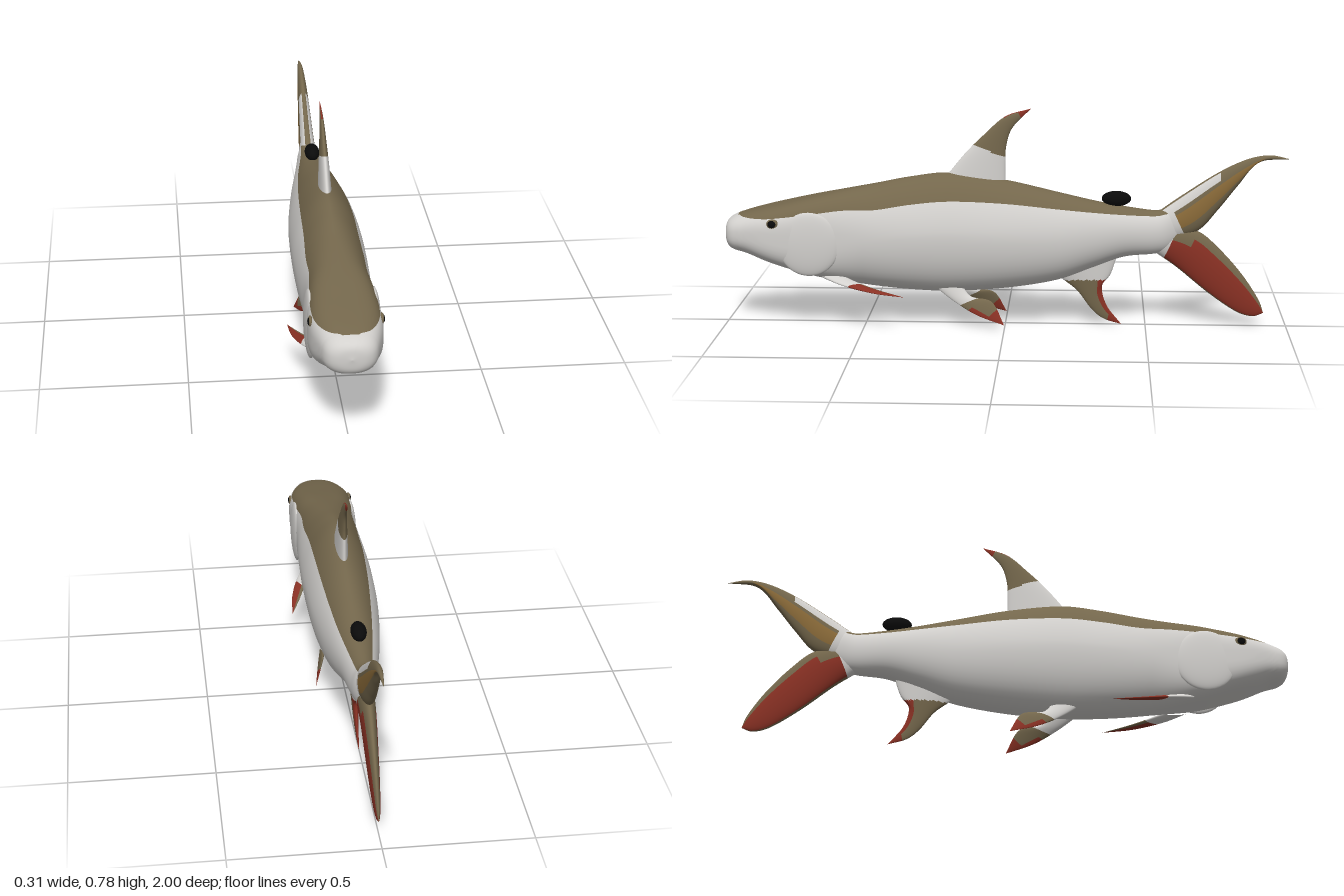
import * as THREE from 'three';

const mat = (name, color) => {
  const m = new THREE.MeshStandardMaterial({ color });
  m.name = name;
  return m;
};

// Closed skin from a grid of points: rows along the part, columns around it.
// pick(i, j) gives the material index of each cell.
function skin(name, rows, cols, point, pick, materials) {
  const pos = [], lists = materials.map(() => []);
  for (let i = 0; i <= rows; i++)
    for (let j = 0; j < cols; j++) pos.push(...point(i / rows, j));
  const P = k => new THREE.Vector3().fromArray(pos, k * 3);
  let volume = 0;
  for (let i = 0; i < rows; i++)
    for (let j = 0; j < cols; j++) {
      const k = (j + 1) % cols;
      const a = i * cols + j, b = i * cols + k, c = a + cols, d = b + cols;
      for (const t of [[a, c, b], [b, c, d]]) {
        volume += P(t[0]).dot(P(t[1]).cross(P(t[2])));
        lists[pick(i, j)].push(t);
      }
    }
  const index = [], g = new THREE.BufferGeometry();
  lists.forEach((list, m) => {
    g.addGroup(index.length, list.length * 3, m);
    list.forEach(t => index.push(...(volume < 0 ? [t[0], t[2], t[1]] : t)));
  });
  g.setAttribute('position', new THREE.Float32BufferAttribute(pos, 3));
  g.setIndex(index);
  g.computeVertexNormals();
  const mesh = new THREE.Mesh(g, materials);
  mesh.name = name;
  return mesh;
}

const curve = pts => new THREE.CatmullRomCurve3(pts.map(p => new THREE.Vector3(...p)), false, 'catmullrom', 0.5);

// Lens-section fin between a leading and a trailing edge, root to tip.
function fin(name, lead, trail, normal, thick, materials, colour) {
  const L = curve(lead), T = curve(trail), n = new THREE.Vector3(...normal).normalize();
  const rows = 48, cols = 56;
  const chord = j => (1 - Math.cos((j / cols) * Math.PI * 2)) / 2;
  return skin(name, rows, cols, (u, j) => {
    const t = thick * Math.pow(1 - u, 0.8) * Math.sin((j / cols) * Math.PI * 2);
    return L.getPoint(u).lerp(T.getPoint(u), chord(j)).addScaledVector(n, t).toArray();
  }, (i, j) => colour((i + 0.5) / rows, chord(j + 0.5)), materials);
}

const flat = pts => pts.map(([z, y]) => [0, y, z]);
const mirrorX = pts => pts.map(([x, y, z]) => [-x, y, z]);

export function createModel() {
  const fish = new THREE.Group();
  fish.name = 'fish';
  const grey = mat('silver grey', 0xd3d1ce);
  const olive = mat('olive brown', 0x74674c);
  const red = mat('fin red', 0x8a3124);
  const gold = mat('golden brown', 0x8c6c3a);
  const black = mat('black', 0x0b0b0b);
  const all = [grey, olive, red, gold];
  const GREY = 0, OLIVE = 1, RED = 2, GOLD = 3;

  // Body stations: z, bottom, top, half width, colour line, squareness
  const S = [
    [1.0, 0.3299, 0.3301, 0.0001, 0.40, 2.2],
    [0.993, 0.288, 0.368, 0.05, 0.40, 2.3],
    [0.97, 0.268, 0.388, 0.08, 0.40, 2.5],
    [0.92, 0.255, 0.406, 0.098, 0.393, 2.7],
    [0.85, 0.228, 0.424, 0.116, 0.393, 3.0],
    [0.78, 0.205, 0.440, 0.121, 0.40, 3.2],
    [0.68, 0.175, 0.463, 0.117, 0.412, 3.1],
    [0.57, 0.152, 0.486, 0.114, 0.425, 2.4],
    [0.46, 0.136, 0.508, 0.12, 0.428, 1.95],
    [0.33, 0.124, 0.534, 0.125, 0.448, 1.7],
    [0.19, 0.12, 0.548, 0.126, 0.46, 1.65],
    [0.0, 0.133, 0.523, 0.12, 0.452, 1.7],
    [-0.18, 0.163, 0.482, 0.102, 0.432, 1.85],
    [-0.31, 0.21, 0.452, 0.083, 0.418, 2.0],
    [-0.42, 0.25, 0.432, 0.064, 0.408, 2.0],
    [-0.53, 0.262, 0.418, 0.048, 0.402, 2.0],
    [-0.585, 0.28, 0.425, 0.036, 0.408, 2.0],
    [-0.64, 0.335, 0.375, 0.006, 0.37, 2.0],
  ];
  const A = curve(S.map(s => s.slice(0, 3))), B = curve(S.map(s => s.slice(3)));
  const UP = 7, LOW = 17, HALF = UP + LOW, SNOUT = 17;
  fish.add(skin('body', 120, HALF * 2, (u, j) => {
    const { x: z, y: bottom, z: top } = A.getPoint(u);
    const { x: w, y: line, z: n } = B.getPoint(u);
    const cy = (top + bottom) / 2, h = (top - bottom) / 2;
    const k = j <= HALF ? j : HALF * 2 - j, side = j <= HALF ? 1 : -1;
    const q = THREE.MathUtils.clamp((line - cy) / h, 0.05, 0.985);
    const split = Math.acos(Math.pow(q, n / 2));
    const a = k <= UP ? (split * k) / UP : split + ((Math.PI - split) * (k - UP)) / LOW;
    const c = Math.cos(a), s = Math.max(Math.sin(a), 0);
    const e = 2 / (c > 0 ? n : Math.max(n, 2.1));
    return [side * w * Math.pow(s, e), cy + h * Math.sign(c) * Math.pow(Math.abs(c), e), z];
  }, (i, j) => (i >= SNOUT && (j < UP || j >= HALF * 2 - UP) ? OLIVE : GREY), all));

  const ellipsoid = (name, m, p, r) => {
    const mesh = new THREE.Mesh(new THREE.SphereGeometry(1, 32, 24), m);
    mesh.name = name;
    mesh.position.set(...p);
    mesh.scale.set(...r);
    fish.add(mesh);
  };

  // Small dark bead on the back
  ellipsoid('backBead', black, [0, 0.459, -0.393], [0.027, 0.027, 0.052]);

  // Median fins
  const X = [1, 0, 0];
  fish.add(fin('dorsalFin',
    flat([[0.21, 0.535], [0.14, 0.62], [0.075, 0.685], [0.0, 0.75], [-0.09, 0.778]]),
    flat([[0.0, 0.51], [0.0, 0.585], [-0.003, 0.645], [-0.025, 0.71], [-0.09, 0.778]]),
    X, 0.022, all,
    (u, v) => (u > 0.87 || (u > 0.72 && v < 0.06) ? RED : u < 0.36 - 0.03 * v ? GREY : OLIVE)));
  fish.add(fin('analFin',
    flat([[-0.19, 0.175], [-0.255, 0.125], [-0.305, 0.06], [-0.35, 0.022], [-0.415, 0.001]]),
    flat([[-0.4, 0.26], [-0.375, 0.185], [-0.345, 0.14], [-0.362, 0.07], [-0.415, 0.001]]),
    X, 0.018, all,
    (u, v) => (u < 0.08 + 0.26 * v ? GREY : v > 0.6 || u > 0.82 ? RED : OLIVE)));

  // Forked tail
  fish.add(fin('upperTailLobe',
    flat([[-0.53, 0.405], [-0.62, 0.47], [-0.75, 0.555], [-0.85, 0.603], [-0.93, 0.618], [-1, 0.605]]),
    flat([[-0.56, 0.3], [-0.68, 0.345], [-0.75, 0.42], [-0.82, 0.51], [-0.89, 0.592], [-1, 0.605]]),
    X, 0.034, all,
    (u, v) => {
      if (v < 0.03) return OLIVE;
      if (u < 0.13 || (v < 0.24 && u < 0.42)) return GREY;
      return v > 0.34 && v < 0.72 && u < 0.8 ? GOLD : OLIVE;
    }));
  fish.add(fin('lowerTailLobe',
    flat([[-0.53, 0.268], [-0.61, 0.212], [-0.72, 0.122], [-0.82, 0.054], [-0.88, 0.036], [-0.92, 0.048]]),
    flat([[-0.56, 0.37], [-0.68, 0.345], [-0.76, 0.28], [-0.84, 0.19], [-0.9, 0.1], [-0.92, 0.048]]),
    X, 0.032, all,
    (u, v) => (u < 0.09 ? GREY : v > 0.83 || v < 0.03 || (u < 0.2 && v > 0.6) ? OLIVE : RED)));

  // Paired parts
  const pelvic = [
    [[0.04, 0.16, 0.27], [0.06, 0.1, 0.19], [0.084, 0.05, 0.1], [0.104, 0.018, 0.0]],
    [[0.04, 0.16, 0.16], [0.058, 0.112, 0.12], [0.076, 0.096, 0.045], [0.104, 0.018, 0.0]],
  ];
  const pectoral = [
    [[0.07, 0.18, 0.65], [0.115, 0.16, 0.57], [0.145, 0.14, 0.46], [0.154, 0.128, 0.35]],
    [[0.07, 0.175, 0.56], [0.092, 0.16, 0.51], [0.118, 0.143, 0.44], [0.154, 0.128, 0.35]],
  ];
  for (const s of [1, -1]) {
    const label = s > 0 ? 'left' : 'right';
    const place = pts => (s > 0 ? pts : mirrorX(pts));
    fish.add(fin(label + 'PelvicFin', place(pelvic[0]), place(pelvic[1]), [0.9 * s, 0.45, 0], 0.014, all,
      (u, v) => (u < 0.46 ? GREY : u > 0.8 || (u > 0.56 && v < 0.25) ? RED : OLIVE)));
    fish.add(fin(label + 'PectoralFin', place(pectoral[0]), place(pectoral[1]), [0.25 * s, 0.97, 0], 0.011, all,
      (u, v) => (u < 0.4 ? GREY : v > 0.75 ? OLIVE : RED)));
    ellipsoid(label + 'GillCover', grey, [s * 0.106, 0.305, 0.69], [0.019, 0.114, 0.11]);
    ellipsoid(label + 'EyeRing', olive, [s * 0.114, 0.378, 0.816], [0.008, 0.018, 0.021]);
    ellipsoid(label + 'Eye', black, [s * 0.115, 0.378, 0.817], [0.009, 0.015, 0.017]);
  }
  return fish;
}
